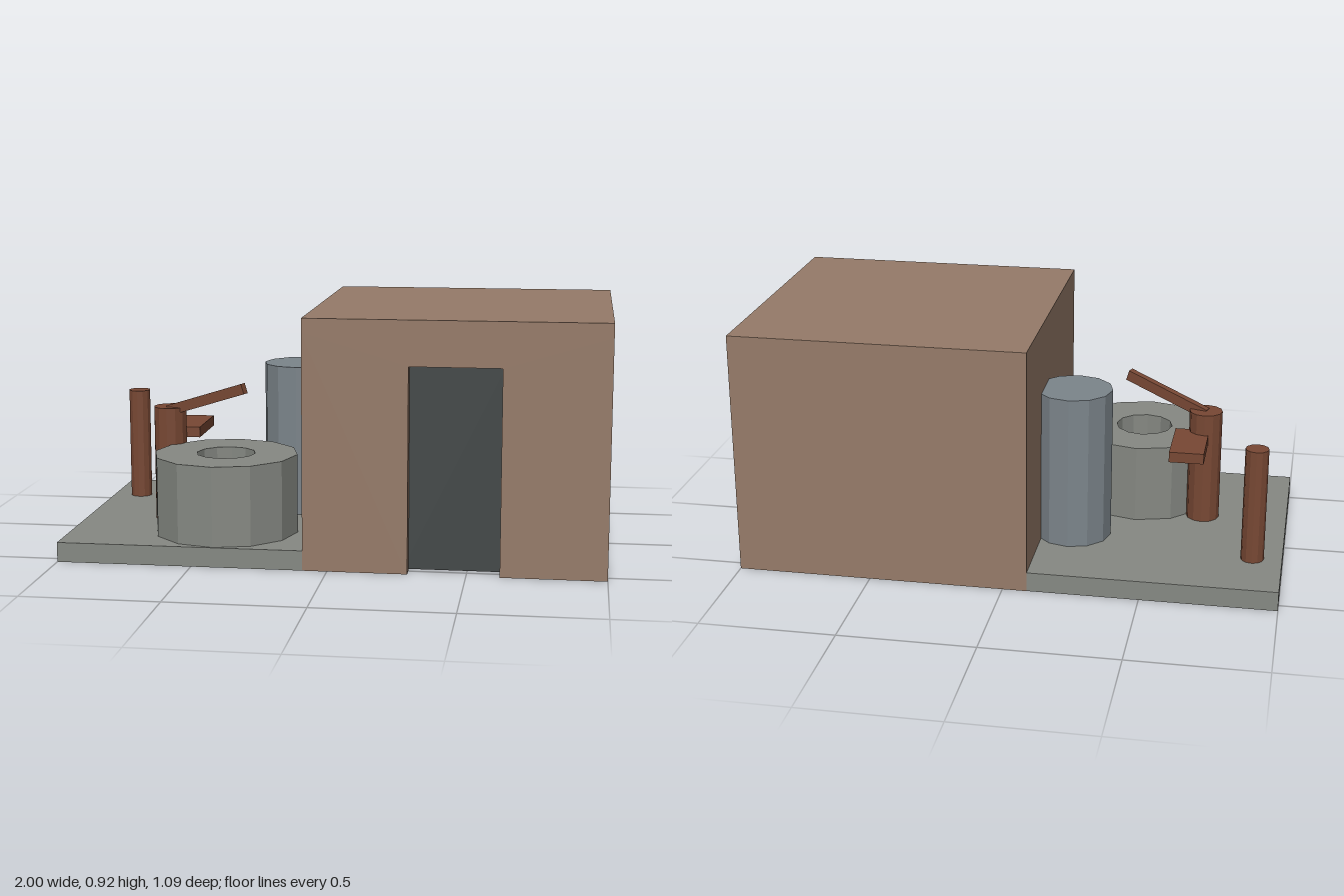
import * as THREE from 'three';

const material = (color, flat = true) => new THREE.MeshStandardMaterial({ color, flatShading: flat });

export function createModel() {
  const model = new THREE.Group();
  const clay = material(0x967b69), stone = material(0x868983), metal = material(0x7c858b);
  const wood = material(0x784834), dark = material(0x434848);

  const add = (parent, name, geometry, mat, x = 0, y = 0, z = 0) => {
    const mesh = new THREE.Mesh(geometry, mat);
    mesh.name = name;
    mesh.position.set(x, y, z);
    parent.add(mesh);
    return mesh;
  };
  // box given by its two extreme corners
  const box = (parent, name, mat, [x0, y0, z0], [x1, y1, z1]) =>
    add(parent, name, new THREE.BoxGeometry(x1 - x0, y1 - y0, z1 - z0), mat,
      (x0 + x1) / 2, (y0 + y1) / 2, (z0 + z1) / 2);
  // upright cylinder standing on the slab
  const post = (parent, name, mat, r, top, x, z) =>
    add(parent, name, new THREE.CylinderGeometry(r, r, top - slabTop, 12), mat, x, (top + slabTop) / 2, z);

  const L = -0.09, R = 1, H = 0.915, D = 0.545, T = 0.05, slabTop = 0.073;

  // hollow house, open underneath
  const house = new THREE.Group();
  house.name = 'house';
  model.add(house);
  box(house, 'roof', clay, [L, H - T, -D], [R, H, D]);
  box(house, 'backWall', clay, [L, 0, -D], [R, H - T, -D + T]);
  box(house, 'leftWall', clay, [R - T, 0, -D + T], [R, H - T, D - T]);
  box(house, 'rightWall', clay, [L, 0, -D + T], [L + T, H - T, D - T]);

  // front wall with the doorway cut up from the ground
  const outline = [[L, 0], [0.29, 0], [0.29, 0.75], [0.62, 0.75], [0.62, 0], [R, 0], [R, H - T], [L, H - T]];
  const frontShape = new THREE.Shape(outline.map(([x, y]) => new THREE.Vector2(x, y)));
  add(house, 'frontWall', new THREE.ExtrudeGeometry(frontShape, { depth: T, bevelEnabled: false }), clay, 0, 0, D - T);
  box(house, 'door', dark, [0.27, 0.007, D - T - 0.05], [0.64, 0.77, D - T - 0.001]);

  // yard slab, reaching a little under the house
  box(model, 'yardSlab', stone, [-1, 0, -D + 0.001], [0.1, slabTop, D - 0.001]);

  // stone well ring with an open shaft
  const ring = [[0.11, slabTop], [0.27, slabTop], [0.27, 0.37], [0.11, 0.37], [0.11, slabTop]];
  add(model, 'wellRing', new THREE.LatheGeometry(ring.map(([r, y]) => new THREE.Vector2(r, y)), 12),
    stone, -0.42, 0, 0.27);

  // water tank against the house wall
  post(model, 'waterTank', metal, 0.145, 0.655, -0.2, -0.148);

  // pump: post, spout block and sloping handle
  const pump = new THREE.Group();
  pump.name = 'pump';
  model.add(pump);
  post(pump, 'pumpPost', wood, 0.063, 0.51, -0.675, 0.09);
  box(pump, 'pumpSpout', wood, [-0.69, 0.39, -0.165], [-0.56, 0.43, 0.09]);
  const from = new THREE.Vector3(-0.675, 0.495, 0.097), to = new THREE.Vector3(-0.363, 0.602, 0.198);
  const run = to.clone().sub(from);
  const handle = add(pump, 'pumpHandle', new THREE.BoxGeometry(run.length(), 0.04, 0.03), wood);
  handle.position.copy(from).add(to).multiplyScalar(0.5);
  handle.rotation.set(0, -Math.atan2(run.z, run.x), Math.asin(run.y / run.length()));

  // free-standing yard post
  post(model, 'yardPost', wood, 0.043, 0.51, -0.89, -0.275);

  return model;
}
